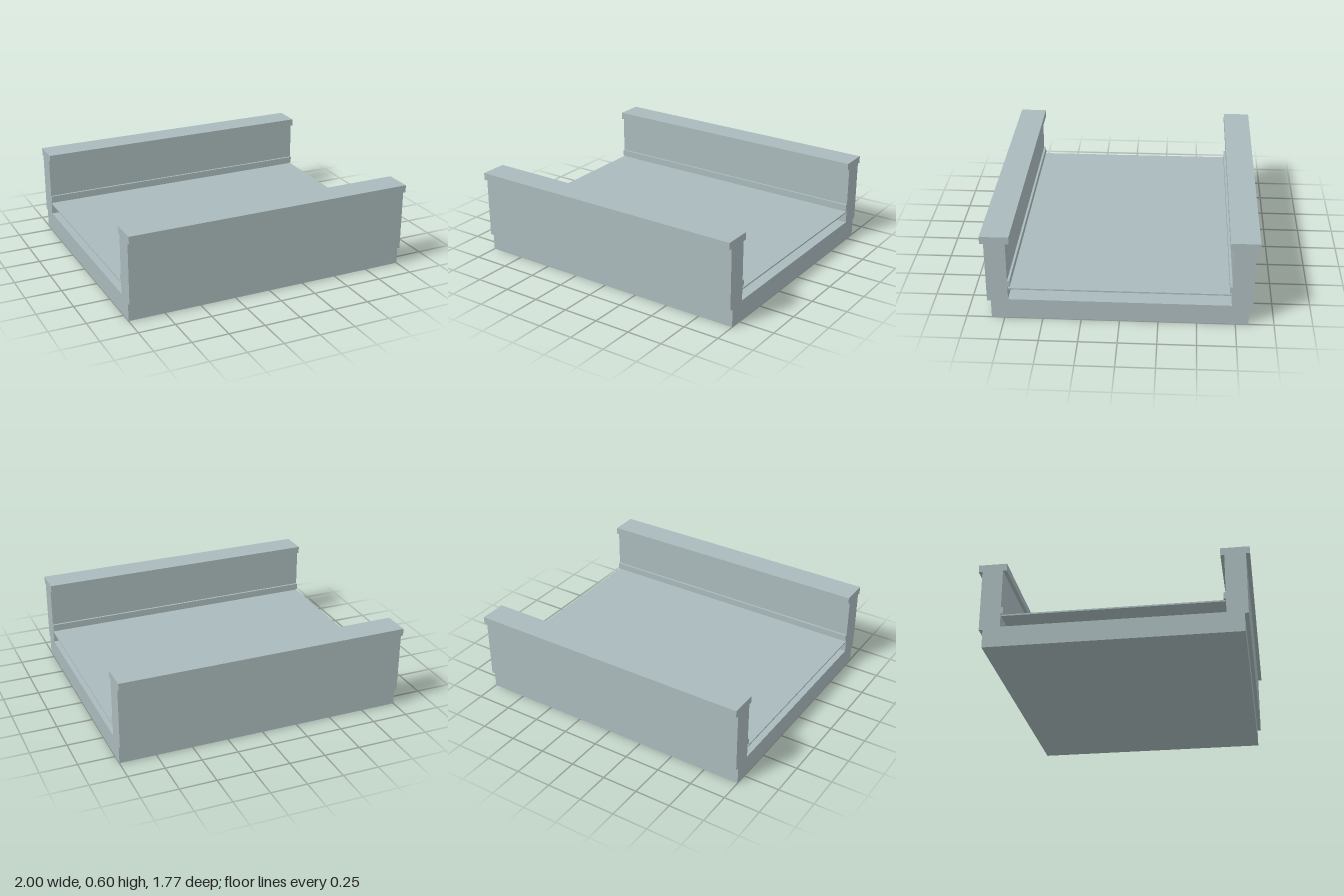
import * as THREE from 'three';

const LENGTH = 2;

export function createModel() {
  const group = new THREE.Group();
  const concrete = new THREE.MeshStandardMaterial({ color: 0xaababc });
  concrete.name = 'paleGreyGreen';

  const add = (name, geometry, y = 0, z = 0) => {
    const mesh = new THREE.Mesh(geometry, concrete);
    mesh.name = name;
    mesh.position.set(0, y, z);
    group.add(mesh);
  };

  // U-shaped channel: half cross-section [z, y], mirrored about the centre
  const half = [
    [0.835, 0], [0.835, 0.125], [0.86, 0.125], [0.86, 0.55], [0.885, 0.55],
    [0.885, 0.6], [0.697, 0.6], [0.697, 0.55], [0.722, 0.55], [0.722, 0.14],
  ];
  const mirrored = half.map(([z, y]) => [-z, y]).reverse();
  const profile = new THREE.Shape([...half, ...mirrored].map(([z, y]) => new THREE.Vector2(z, y)));
  const channel = new THREE.ExtrudeGeometry(profile, { depth: LENGTH, bevelEnabled: false });
  channel.translate(0, 0, -LENGTH / 2).rotateY(Math.PI / 2);
  add('channel', channel);

  // Thin deck raised above the channel floor
  add('deck', new THREE.BoxGeometry(LENGTH, 0.01, 1.436), 0.22);

  // Guide strips along the inner walls, just above the deck
  for (const side of [-1, 1]) {
    add(side > 0 ? 'frontStrip' : 'backStrip',
      new THREE.BoxGeometry(LENGTH, 0.045, 0.015), 0.257, side * 0.7145);
  }
  return group;
}
